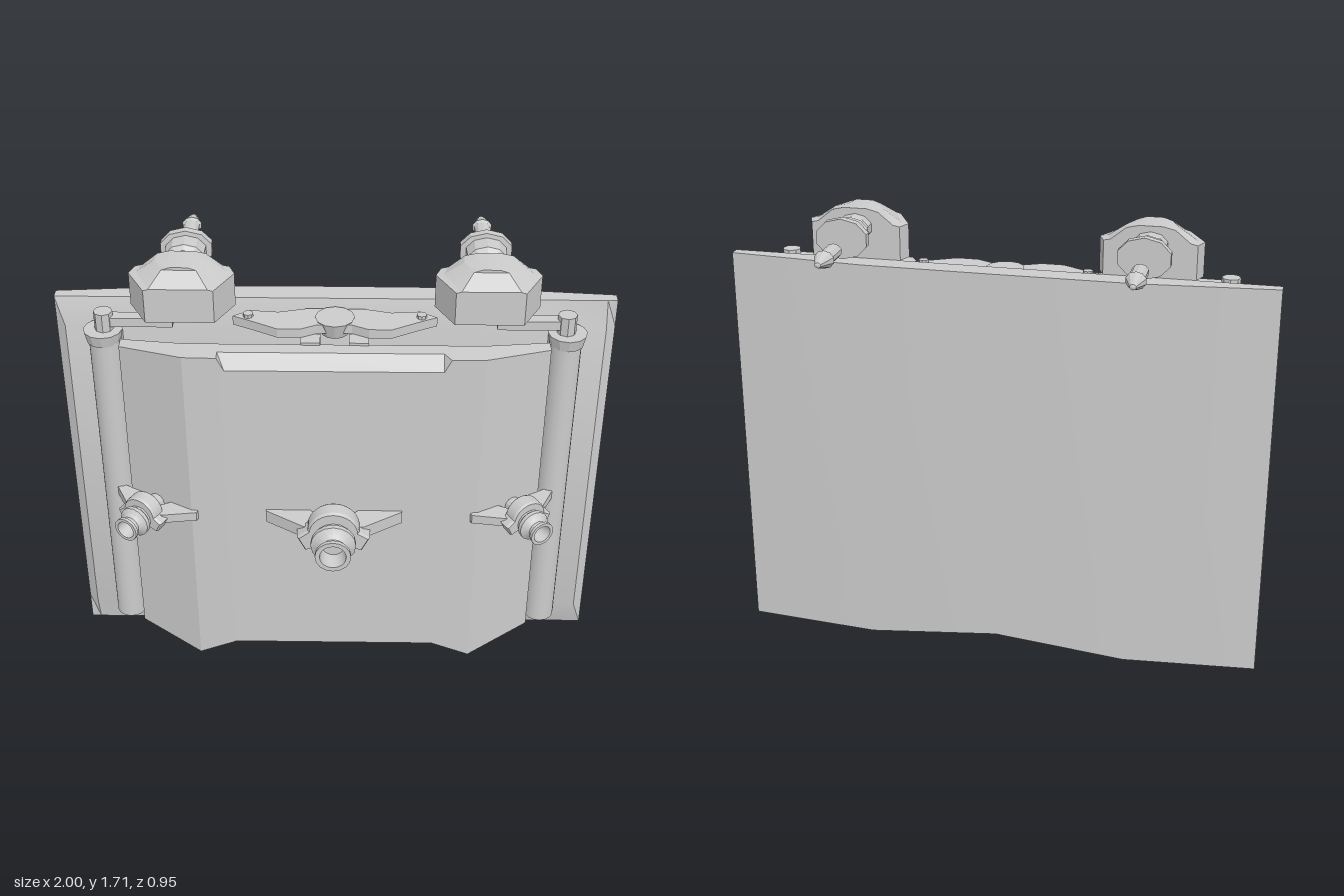
import * as THREE from 'three';
import { mergeVertices, toCreasedNormals } from 'three/addons/utils/BufferGeometryUtils.js';

const grey = new THREE.MeshStandardMaterial({ color: 0xcccccc, side: THREE.DoubleSide });

function part(name, geometry, parent, x = 0, y = 0, z = 0, crease = 0.4) {
  const mesh = new THREE.Mesh(toCreasedNormals(geometry, crease), grey);
  mesh.name = name;
  mesh.position.set(x, y, z);
  parent.add(mesh);
  return mesh;
}

// Skin between equal-length loops of [x, y, z], capped at both ends.
function loft(loops) {
  const n = loops[0].length, index = [];
  for (let i = 0; i < loops.length - 1; i++) {
    for (let j = 0; j < n; j++) {
      const a = i * n + j, b = i * n + (j + 1) % n;
      index.push(a, b, b + n, a, b + n, a + n);
    }
  }
  const last = (loops.length - 1) * n;
  for (let j = 1; j < n - 1; j++) index.push(0, j + 1, j, last, last + j, last + j + 1);
  const g = new THREE.BufferGeometry();
  g.setAttribute('position', new THREE.Float32BufferAttribute(loops.flat(2), 3));
  g.setIndex(index);
  return mergeVertices(g);
}

// Turned part along +z from [radius, z] points.
function turned(points, sides) {
  return new THREE.LatheGeometry(points.map(([r, z]) => new THREE.Vector2(r, z)), sides)
    .rotateX(Math.PI / 2);
}

// Flat outline in x and z, given thickness in y from 0 upward.
function slab(points, height) {
  const shape = new THREE.Shape(points.map(([x, z]) => new THREE.Vector2(x, -z)));
  return new THREE.ExtrudeGeometry(shape, { depth: height, bevelEnabled: false })
    .rotateX(-Math.PI / 2);
}

function makeValve(name) {
  const valve = new THREE.Group();
  valve.name = name;
  part('valveStem', new THREE.CylinderGeometry(0.045, 0.045, 0.1, 12).rotateX(Math.PI / 2), valve, 0, 0, 0.04);
  // tapering handle wings
  for (const s of [-1, 1]) {
    part('valveWing', slab([[0.25 * s, -0.005], [0.25 * s, 0.01], [0.11 * s, 0.1], [0.04 * s, 0.1], [0.04 * s, 0.06], [0.09 * s, 0.0]], 0.05),
      valve, 0, -0.025, 0);
  }
  // collar rounded above and cut short below
  const collar = new THREE.Shape();
  collar.moveTo(-0.1, -0.05);
  collar.lineTo(-0.06, -0.035);
  collar.lineTo(0.06, -0.035);
  collar.lineTo(0.1, -0.05);
  collar.lineTo(0.125, 0);
  collar.lineTo(0.085, 0.025);
  collar.absarc(0, 0.02, 0.088, 0.1, Math.PI - 0.1, false);
  collar.lineTo(-0.125, 0);
  part('valveCollar', new THREE.ExtrudeGeometry(collar, {
    depth: 0.05, bevelEnabled: true, bevelThickness: 0.01, bevelSize: 0.006, bevelSegments: 1, curveSegments: 8,
  }), valve, 0, 0, 0.08);
  // hollow spout with a flared lip
  part('valveSpout', turned([
    [0, 0.08], [0.07, 0.08], [0.07, 0.15], [0.082, 0.16], [0.082, 0.178], [0.062, 0.19],
    [0.05, 0.205], [0.05, 0.218], [0.065, 0.228], [0.065, 0.243], [0.048, 0.243], [0.04, 0.18], [0, 0.18],
  ], 16), valve);
  return valve;
}

export function createModel() {
  const model = new THREE.Group();
  model.name = 'model';

  // back plate with a bevelled front border
  const plateSections = [
    [-1, -0.09, 0, -0.05], [-0.965, -0.093, 0, -0.02], [-0.5, -0.132, 0, -0.02], [0, -0.135, 0.05, -0.02],
    [0.5, -0.132, 0, -0.02], [0.965, -0.093, 0, -0.02], [1, -0.09, 0, -0.05],
  ];
  part('backPlate', loft(plateSections.map(([x, back, low, face]) => [
    [x, low, back], [x, 1.515, back], [x, 1.515, -0.05], [x, 1.41, face], [x, low + 0.115, face], [x, low, -0.05],
  ])), model);

  // front cover: x, bottom, top, lip, inner z, outer z
  const coverSections = [
    [-0.76, 0.12, 1.4, 1.4, 0.05, 0.1], [-0.525, 0.07, 1.44, 1.44, 0.14, 0.232], [-0.405, 0.12, 1.44, 1.44, 0.14, 0.235],
    [-0.38, 0.13, 1.44, 1.39, 0.14, 0.235],
  ];
  const mirrored = coverSections.map(([x, ...rest]) => [-x, ...rest]).reverse();
  part('frontCover', loft([...coverSections, ...mirrored].map(([x, low, top, lip, inner, outer]) => [
    [x, low, inner], [x, top, inner], [x, top, outer - 0.04], [x, lip, outer], [x, low, outer],
  ])), model);

  // centre bracket and its boss
  part('centreBracket', slab([
    [-0.36, 0.03], [-0.3, -0.01], [-0.2, 0.0], [-0.1, -0.025], [0.1, -0.025], [0.2, 0.0], [0.3, -0.01], [0.36, 0.03],
    [0.3, 0.06], [0.2, 0.115], [0.12, 0.115], [0.06, 0.085], [-0.06, 0.085], [-0.12, 0.115], [-0.2, 0.115], [-0.3, 0.06],
  ], 0.035), model, 0, 1.452, 0);
  part('centreBoss', new THREE.CylinderGeometry(0.07, 0.05, 0.06, 12), model, 0, 1.46, 0.035);

  const centreValve = makeValve('centreValve');
  centreValve.position.set(0, 0.76, 0.232);
  model.add(centreValve);

  for (const s of [-1, 1]) {
    // hinge column with cap and pin
    part('hingeColumn', new THREE.CylinderGeometry(0.058, 0.058, 1.27, 16), model, 0.815 * s, 0.765, 0.037);
    part('columnWeb', new THREE.BoxGeometry(0.115, 1.27, 0.055), model, 0.818 * s, 0.765, 0.0);
    part('columnCap', new THREE.CylinderGeometry(0.07, 0.06, 0.045, 12), model, 0.82 * s, 1.415, 0.04);
    part('hingePin', new THREE.CylinderGeometry(0.034, 0.034, 0.085, 8), model, 0.815 * s, 1.465, 0.037);
    part('hingeArm', new THREE.BoxGeometry(0.24, 0.035, 0.045), model, 0.69 * s, 1.472, 0.035);
    part('bracketKnob', new THREE.CylinderGeometry(0.018, 0.018, 0.03, 8), model, 0.305 * s, 1.485, 0.03);
    part('bracketTab', new THREE.BoxGeometry(0.07, 0.03, 0.06), model, 0.085 * s, 1.435, 0.115);

    // top block with sloping shoulders
    const block = new THREE.Group();
    block.name = 'topBlock';
    block.position.set(0.535 * s, 0, 0);
    model.add(block);
    const outline = [[-0.165, -0.05], [-0.185, 0], [-0.12, 0.125], [0.12, 0.125], [0.185, 0], [0.165, -0.05]];
    const upper = [[-0.085, -0.05], [-0.09, 0], [-0.06, 0.07], [0.06, 0.07], [0.09, 0], [0.085, -0.05]];
    const ring = (points, y, k = 1) => points.map(([x, z]) => [x * k, y, z]);
    part('blockBody', loft([
      ring(outline, 1.515), ring(outline, 1.64), ring(outline, 1.645, 0.85), ring(upper, 1.69), ring(upper, 1.7, 0.5),
    ]), block);

    // oval rear knob and separate pointed dart
    const knob = part('rearKnob', turned([
      [0, -0.216], [0.073, -0.216], [0.073, -0.186], [0.057, -0.184], [0.055, -0.12], [0.038, -0.105],
      [0.048, -0.09], [0.048, -0.04], [0, -0.04],
    ], 10), block, 0, 1.632, 0);
    knob.scale.x = 1.32;
    const dart = part('rearDart', turned([
      [0, -0.478], [0.01, -0.474], [0.032, -0.405], [0.026, -0.395], [0.026, -0.3], [0, -0.3],
    ], 10), block, 0, 1.615, 0);
    dart.scale.x = 1.15;

    // angled valve on the sloping side of the cover
    const valve = makeValve('sideValve');
    valve.position.set(0.66 * s, 0.76, 0.155);
    valve.rotation.y = 0.5 * s;
    valve.scale.set(0.72, 0.72, 0.83);
    model.add(valve);
  }
  return model;
}
